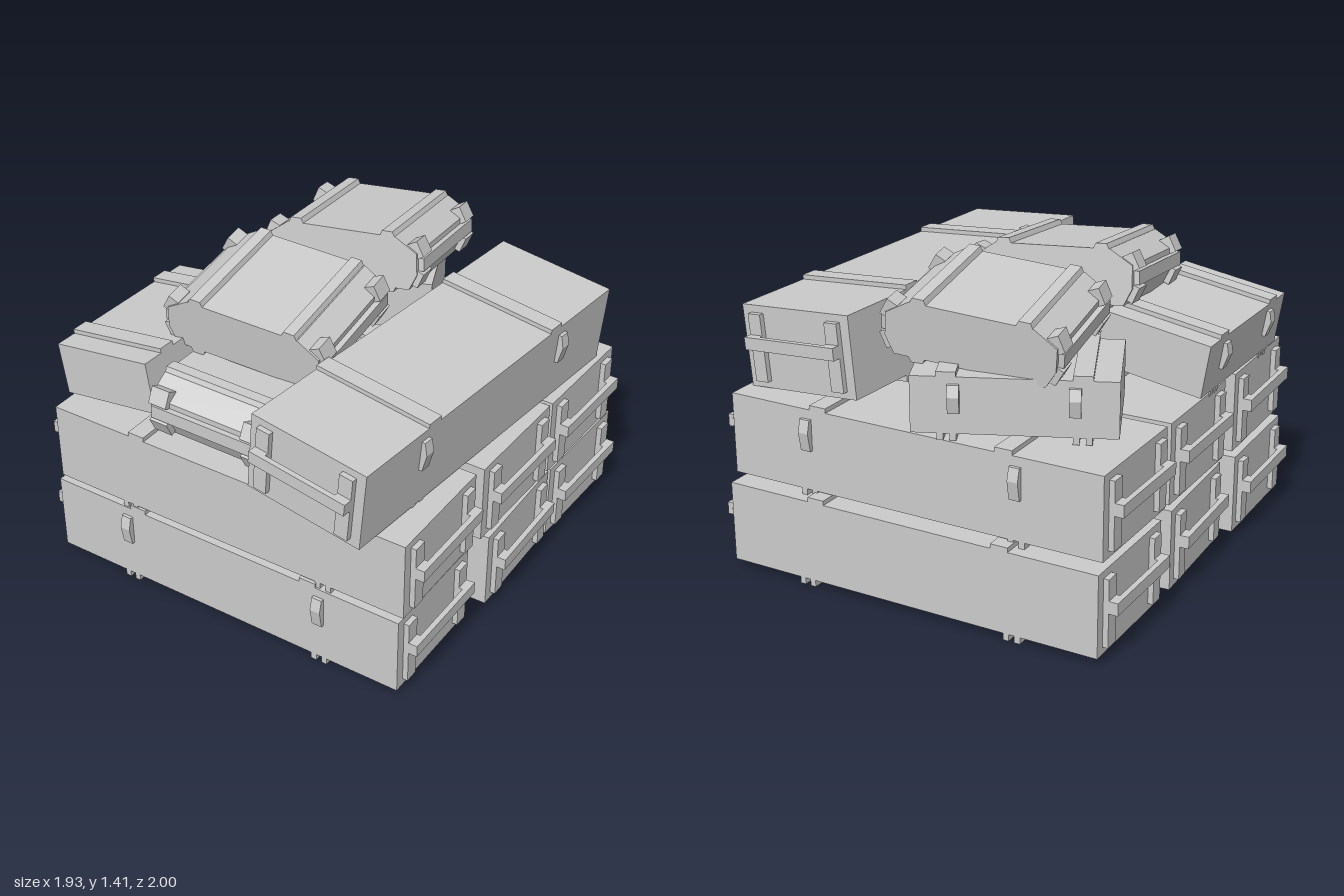
import * as THREE from 'three';

const material = new THREE.MeshStandardMaterial({ color: 0xcccccc, flatShading: true });
const shellMaterial = new THREE.MeshStandardMaterial({ color: 0xcccccc, flatShading: true, side: THREE.DoubleSide });
const rad = THREE.MathUtils.degToRad;

function add(parent, name, geometry, x = 0, y = 0, z = 0, mat = material) {
  const mesh = new THREE.Mesh(geometry, mat);
  mesh.name = name;
  mesh.position.set(x, y, z);
  parent.add(mesh);
  return mesh;
}
const box = (w, h, d) => new THREE.BoxGeometry(w, h, d);

// Thin-walled box without a floor: the fourth of the six sides is dropped
function openBox(w, h, d) {
  const geometry = box(w, h, d);
  geometry.setIndex([...geometry.index.array].filter((_, i) => i < 18 || i >= 24));
  geometry.clearGroups();
  return geometry;
}

// Outline extruded by depth, centred on z
function prism(points, depth) {
  const shape = new THREE.Shape(points.map(([x, y]) => new THREE.Vector2(x, y)));
  return new THREE.ExtrudeGeometry(shape, { depth, bevelEnabled: false }).translate(0, 0, -depth / 2);
}

// Wedge-shaped clasps on the +z face
function addLatches(crate, offset, z, y, h) {
  const outline = [[-0.005, 0], [0.015, 0], [0.03, h * 0.6], [0.015, h], [-0.005, h]];
  for (const s of [-1, 1]) {
    add(crate, 'latch', prism(outline, 0.048).rotateY(-Math.PI / 2), s * offset, y, z);
  }
}

// Bands over the lid and paired runners under the open floor
function addStraps(crate, lidOffset, runnerOffset, h, d) {
  for (const s of [-1, 1]) {
    add(crate, 'lidStrap', box(0.08, 0.02, d), s * lidOffset, h / 2 + 0.01, 0);
    for (const t of [-1, 1]) {
      add(crate, 'runner', box(0.026, 0.03, d), s * runnerOffset + t * 0.026, -h / 2 - 0.015, 0);
    }
  }
}

// Long crate with an H-shaped carrying handle on each end
function longCrate() {
  const crate = new THREE.Group();
  const [w, h, d] = [1.77, 0.365, 0.565];
  add(crate, 'crateBody', openBox(w, h, d), 0, 0, 0, shellMaterial);
  addStraps(crate, 0.443, 0.5, h, d);
  addLatches(crate, 0.5, d / 2, 0, 0.14);
  for (const s of [-1, 1]) {
    for (const t of [-1, 1]) {
      add(crate, 'handlePost', box(0.024, 0.3, 0.065), s * (w / 2 + 0.012), 0, t * 0.205);
      add(crate, 'handleBracket', box(0.045, 0.055, 0.065), s * (w / 2 + 0.04), 0.03, t * 0.205);
    }
    add(crate, 'handleBar', box(0.024, 0.055, 0.476), s * (w / 2 + 0.052), 0.03, 0);
  }
  return crate;
}

// Short rectangular crate
function shortCrate() {
  const crate = new THREE.Group();
  const [w, h, d] = [0.83, 0.24, 0.5];
  add(crate, 'crateBody', openBox(w, h, d), 0, 0, 0, shellMaterial);
  addStraps(crate, 0.27, 0.27, h, d);
  addLatches(crate, 0.24, d / 2, -0.03, 0.12);
  return crate;
}

// Case with sloping shoulders, battens along lid and floor, and grips on the ends
function chamferedCase() {
  const crate = new THREE.Group();
  const [w, h, d] = [0.365, 0.12, 0.58];
  const shoulder = 0.055, heel = -0.045;
  add(crate, 'caseBody', prism([
    [-w + 0.04, -h], [w - 0.04, -h], [w, heel], [w, shoulder],
    [w - 0.1, h], [-w + 0.1, h], [-w, shoulder], [-w, heel],
  ], d));
  for (const s of [-1, 1]) {
    for (const t of [-1, 1]) {
      // Trapezoid battens
      const batten = prism([[-0.035, 0], [0.035, 0], [0.025, 0.022], [-0.025, 0.022]], d);
      const rail = add(crate, 'batten', batten, s * 0.225, t * h, 0);
      if (t < 0) rail.rotation.z = Math.PI;
      // Corner blocks at the shoulders and heels
      for (const e of [-1, 1]) {
        const block = add(crate, 'cornerBlock', box(0.05, 0.075, 0.09),
          s * (w - 0.01), t > 0 ? shoulder + 0.01 : heel - 0.02, e * 0.235);
        block.rotation.z = s * t * 0.45;
      }
    }
    add(crate, 'gripBar', box(0.03, 0.06, d - 0.04), s * (w + 0.01), 0, 0);
  }
  return crate;
}

export function createModel() {
  const model = new THREE.Group();
  model.name = 'crateStack';

  // Yaw is applied first, then the leans about the x and z axes
  function place(make, name, x, y, z, yaw, leanX = 0, leanZ = 0) {
    const crate = make();
    crate.name = name;
    crate.position.set(x, y, z);
    crate.rotation.set(rad(leanX), rad(yaw), rad(leanZ), 'ZXY');
    model.add(crate);
  }

  // Bottom layer
  place(longCrate, 'bottomFrontCrate', -0.015, 0.212, 0.572, 1.6);
  place(longCrate, 'bottomMiddleCrate', 0, 0.212, -0.09, 2.6);
  place(longCrate, 'bottomBackCrate', -0.01, 0.212, -0.712, 0);
  // Second layer
  place(longCrate, 'upperFrontCrate', 0, 0.605, 0.565, 181.8);
  place(longCrate, 'upperMiddleCrate', 0, 0.605, -0.065, 0.5);
  place(longCrate, 'upperBackCrate', 0, 0.605, -0.657, 180);
  // Long crate lying across the top
  place(longCrate, 'crosswiseCrate', 0.545, 0.998, 0.042, 86.7, 0, -5);
  // Short crates
  place(shortCrate, 'leaningShortCrate', -0.662, 0.958, 0.355, -90, 0, 9);
  place(shortCrate, 'backShortCrate', -0.33, 0.94, -0.602, 204);
  // Sloping cases
  place(chamferedCase, 'lowerCase', -0.105, 0.935, 0.43, 91);
  place(chamferedCase, 'frontTopCase', -0.16, 1.215, 0.21, 6, 6, -4);
  place(chamferedCase, 'backTopCase', -0.2, 1.21, -0.56, 8.3, -5.5, 6);
  return model;
}
